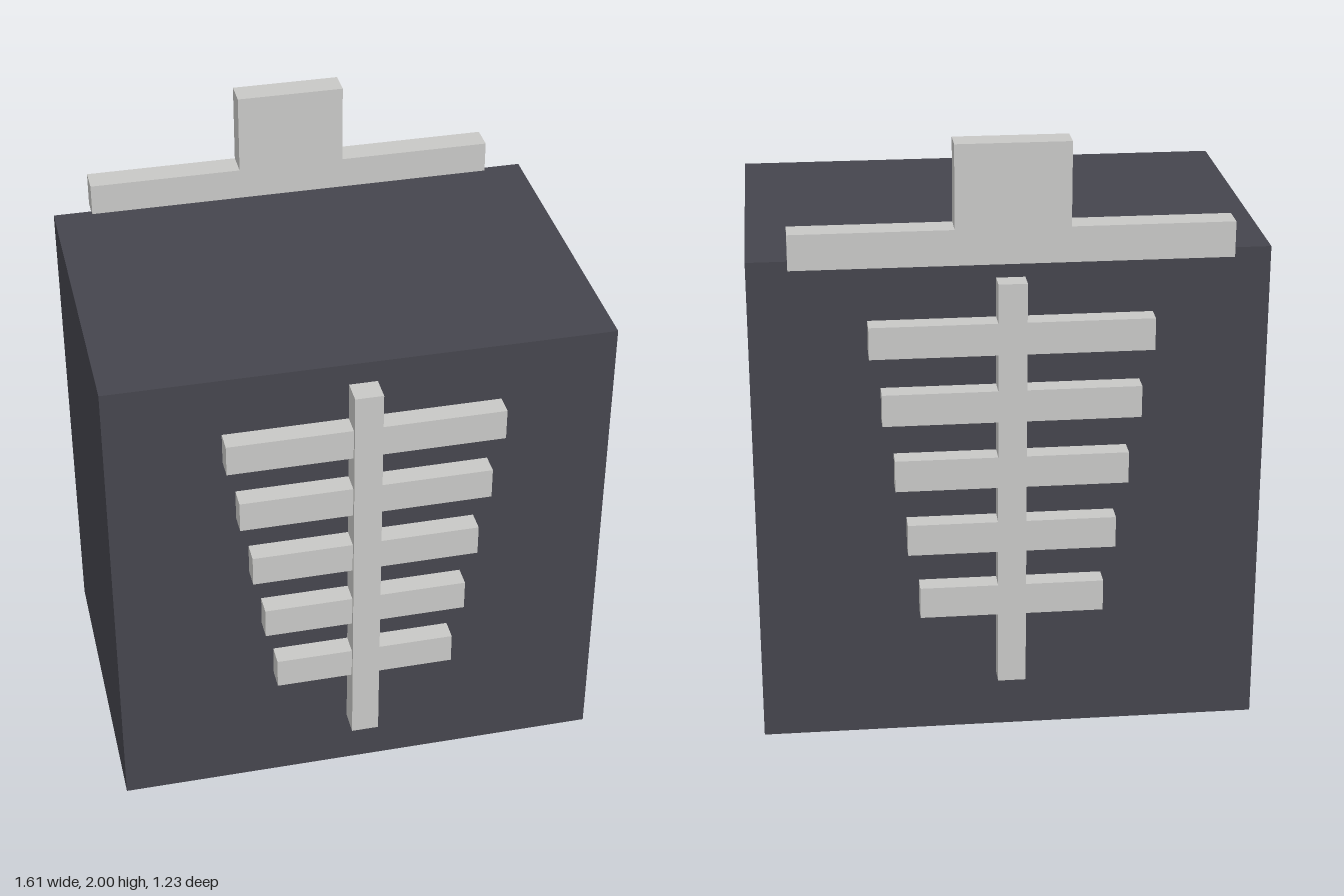
import * as THREE from 'three';

export function createModel() {
  const model = new THREE.Group();
  model.name = 'ribbedBlock';

  const charcoal = new THREE.MeshStandardMaterial({ color: 0x45454d });
  charcoal.name = 'charcoal';
  const bone = new THREE.MeshStandardMaterial({ color: 0xc8c8c6 });
  bone.name = 'bone grey';

  // Box given by its lower and upper limits on each axis
  function block(name, material, [x0, x1], [y0, y1], [z0, z1], parent = model) {
    const mesh = new THREE.Mesh(new THREE.BoxGeometry(x1 - x0, y1 - y0, z1 - z0), material);
    mesh.position.set((x0 + x1) / 2, (y0 + y1) / 2, (z0 + z1) / 2);
    mesh.name = name;
    parent.add(mesh);
  }

  const front = 0.532, back = -0.546;
  block('body', charcoal, [-0.807, 0.807], [0, 1.63], [back, front]);

  // Spine with five pairs of ribs narrowing downwards
  function ribcage(name, spineZ, ribZ) {
    const cage = new THREE.Group();
    cage.name = name;
    model.add(cage);
    const half = 0.045;
    block('spine', bone, [-half, half], [0.195, 1.557], spineZ, cage);
    for (let i = 0; i < 5; i++) {
      const reach = 0.442 - i * 0.037;
      const y = 1.379 - i * 0.2225;
      const height = [y - 0.052, y + 0.052];
      block('leftRib', bone, [half, reach], height, ribZ, cage);
      block('rightRib', bone, [-reach, -half], height, ribZ, cage);
    }
  }
  ribcage('frontRibcage', [front, 0.613], [front, 0.6]);
  ribcage('backRibcage', [-0.612, back], [-0.612, back]);

  // Shoulder bar and neck along the upper back edge
  const barZ = [-0.613, -0.527];
  block('leftShoulder', bone, [0.177, 0.68], [1.622, 1.735], barZ);
  block('rightShoulder', bone, [-0.68, -0.177], [1.622, 1.735], barZ);
  block('neck', bone, [-0.177, 0.177], [1.622, 2], barZ);

  return model;
}
